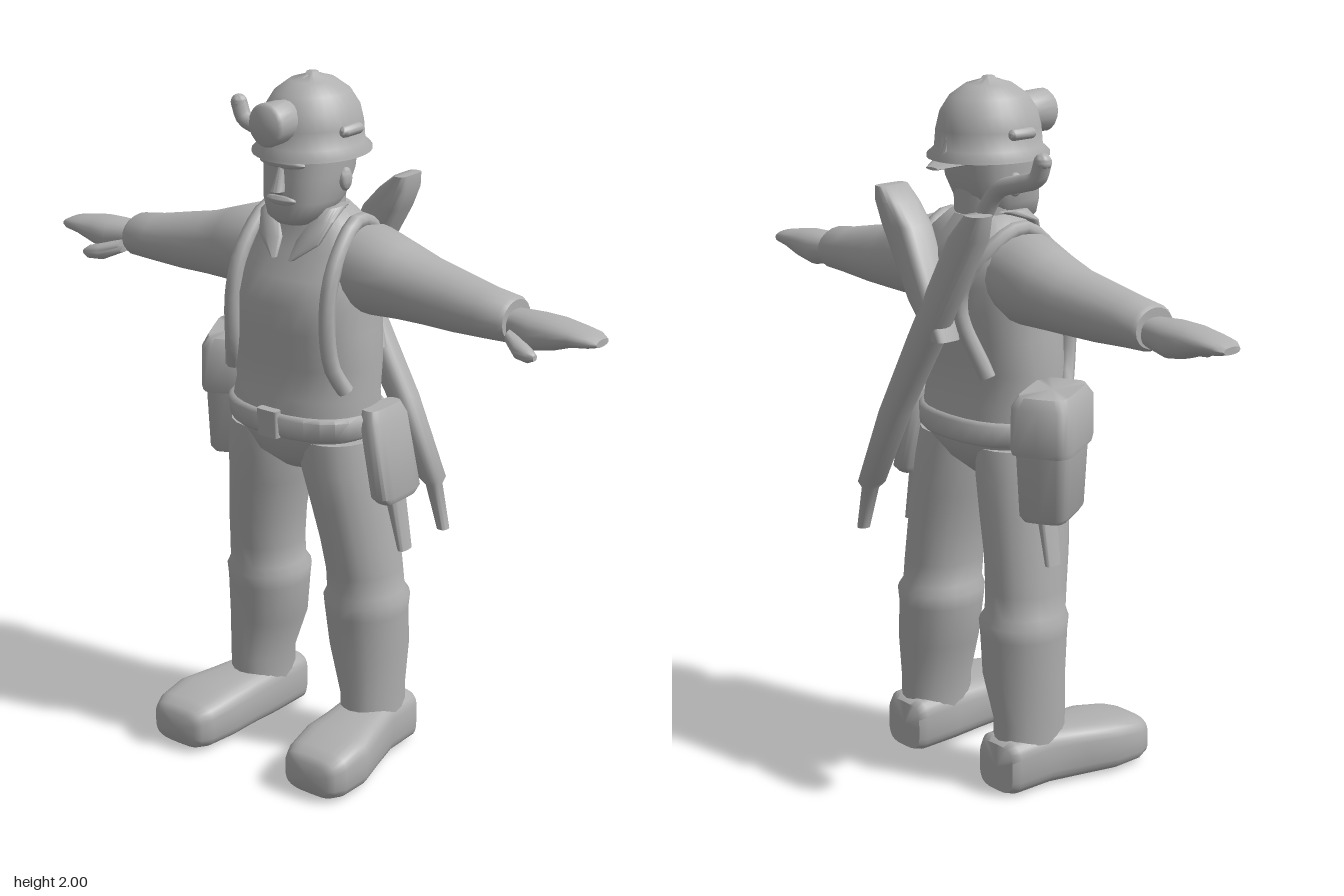
import * as THREE from 'three';
import { toCreasedNormals } from 'three/addons/utils/BufferGeometryUtils.js';

const grey = new THREE.MeshStandardMaterial({ color: 0xb0b0b0 });
grey.name = 'plain grey';

// Closed skin over cross-sections [t, u, v, ru, rv] stacked along an axis.
// axis y: u = x, v = z; axis x: u = y, v = z; axis z: u = x, v = y.
function loft(axis, sections, power = 2, sides = 20) {
  const pos = [], index = [], flip = axis !== 'y';
  const put = (t, u, v) => pos.push(...(axis === 'y' ? [u, t, v] : axis === 'x' ? [t, u, v] : [u, v, t]));
  const tri = (a, b, c) => index.push(...(flip ? [a, c, b] : [a, b, c]));
  const round = (c) => Math.sign(c) * Math.abs(c) ** (2 / power);
  for (const [t, u, v, ru, rv] of sections) {
    for (let j = 0; j < sides; j++) {
      const a = (j / sides) * Math.PI * 2;
      put(t, u + ru * round(Math.cos(a)), v + rv * round(Math.sin(a)));
    }
  }
  const n = sections.length, first = sections[0], last = sections[n - 1];
  put(first[0], first[1], first[2]);
  put(last[0], last[1], last[2]);
  for (let j = 0; j < sides; j++) {
    const k = (j + 1) % sides;
    for (let i = 0; i < n - 1; i++) {
      const a = i * sides + j, b = i * sides + k;
      tri(a, a + sides, b);
      tri(b, a + sides, b + sides);
    }
    tri(n * sides, j, k);
    tri(n * sides + 1, (n - 1) * sides + k, (n - 1) * sides + j);
  }
  const g = new THREE.BufferGeometry();
  g.setAttribute('position', new THREE.Float32BufferAttribute(pos, 3));
  g.setIndex(index);
  return g;
}

function tube(points, radius) {
  const curve = new THREE.CatmullRomCurve3(points.map((p) => new THREE.Vector3(...p)));
  return new THREE.TubeGeometry(curve, 28, radius, 8);
}

// Reflects a geometry across x = 0 and keeps its faces outward.
function mirrored(geometry) {
  const g = geometry.clone().scale(-1, 1, 1), id = g.index.array;
  for (let i = 0; i < id.length; i += 3) [id[i + 1], id[i + 2]] = [id[i + 2], id[i + 1]];
  return g;
}

export function createModel() {
  const model = new THREE.Group();
  model.name = 'miner';
  const add = (name, geometry) => {
    const mesh = new THREE.Mesh(toCreasedNormals(geometry, 0.95), grey);
    mesh.name = name;
    model.add(mesh);
    return mesh;
  };
  const pair = (name, geometry) => {
    add('left' + name, geometry);
    add('right' + name, mirrored(geometry));
  };
  const ball = (r, sx, sy, sz, x, y, z) =>
    new THREE.SphereGeometry(r, 16, 12).scale(sx, sy, sz).translate(x, y, z);

  // Torso and clothes
  add('torso', loft('y', [
    [0.88, 0, -0.01, 0.06, 0.07], [0.93, 0, -0.01, 0.14, 0.13], [1.0, 0, -0.02, 0.215, 0.165],
    [1.06, 0, -0.015, 0.222, 0.17], [1.11, 0, -0.02, 0.218, 0.155], [1.2, 0, -0.02, 0.225, 0.155],
    [1.3, 0, -0.025, 0.215, 0.165], [1.38, 0, -0.03, 0.212, 0.175], [1.45, 0, -0.045, 0.21, 0.165],
    [1.52, 0, -0.065, 0.2, 0.14], [1.58, 0, -0.06, 0.16, 0.115], [1.63, 0, -0.05, 0.1, 0.09],
  ], 2.3, 28));
  add('belt', loft('y', [
    [1.0, 0, -0.018, 0.224, 0.17], [1.01, 0, -0.018, 0.232, 0.178],
    [1.06, 0, -0.015, 0.236, 0.182], [1.07, 0, -0.015, 0.226, 0.172],
  ], 2.3, 28));
  add('beltBuckle', loft('y', [[1.0, 0, 0.155, 0.035, 0.015], [1.08, 0, 0.16, 0.035, 0.015]], 5));
  pair('ShoulderStrap', tube([
    [0.2, 1.15, 0.07], [0.175, 1.22, 0.1], [0.165, 1.38, 0.11], [0.16, 1.5, 0.07], [0.15, 1.6, -0.04],
    [0.13, 1.55, -0.15], [0.07, 1.4, -0.2], [0.14, 1.2, -0.165],
  ], 0.023));
  pair('CollarFlap', loft('y', [
    [1.5, 0.03, 0.095, 0.008, 0.01], [1.55, 0.065, 0.065, 0.04, 0.014],
    [1.61, 0.09, 0.03, 0.035, 0.02], [1.64, 0.095, -0.03, 0.016, 0.05],
  ]));

  // Arms, hands and thumbs
  pair('Sleeve', loft('x', [
    [0.08, 1.48, -0.06, 0.09, 0.1], [0.2, 1.47, -0.06, 0.125, 0.13], [0.3, 1.455, -0.065, 0.107, 0.11],
    [0.38, 1.442, -0.065, 0.093, 0.1], [0.48, 1.432, -0.06, 0.083, 0.09], [0.58, 1.424, -0.055, 0.07, 0.082],
    [0.655, 1.42, -0.055, 0.063, 0.076], [0.667, 1.42, -0.055, 0.055, 0.068],
  ]));
  pair('Hand', loft('x', [
    [0.64, 1.412, -0.055, 0.035, 0.045], [0.68, 1.41, -0.055, 0.042, 0.052], [0.74, 1.405, -0.05, 0.05, 0.066],
    [0.8, 1.41, -0.05, 0.043, 0.064], [0.86, 1.416, -0.05, 0.027, 0.058],
    [0.91, 1.415, -0.05, 0.019, 0.048], [0.935, 1.412, -0.05, 0.01, 0.03],
  ], 2.3));
  pair('Thumb', loft('x', [
    [0.68, 1.39, -0.01, 0.02, 0.03], [0.73, 1.372, 0.025, 0.025, 0.03],
    [0.77, 1.367, 0.04, 0.02, 0.022], [0.79, 1.365, 0.042, 0.008, 0.01],
  ]));

  // Legs with boot cuffs below the knee
  pair('Leg', loft('y', [
    [0.05, 0.205, -0.07, 0.083, 0.113], [0.2, 0.205, -0.065, 0.083, 0.115], [0.33, 0.187, -0.07, 0.112, 0.122],
    [0.45, 0.18, -0.065, 0.118, 0.128], [0.49, 0.18, -0.065, 0.122, 0.132], [0.515, 0.18, -0.06, 0.108, 0.12],
    [0.58, 0.178, -0.055, 0.104, 0.123], [0.68, 0.168, -0.045, 0.105, 0.13], [0.8, 0.148, -0.035, 0.112, 0.138],
    [0.9, 0.132, -0.025, 0.118, 0.145], [0.99, 0.12, -0.02, 0.115, 0.14],
  ]));
  pair('Boot', loft('z', [
    [-0.192, 0.205, 0.075, 0.07, 0.07], [-0.17, 0.205, 0.08, 0.085, 0.08], [-0.05, 0.207, 0.083, 0.087, 0.083],
    [0.06, 0.225, 0.08, 0.1, 0.08], [0.16, 0.24, 0.078, 0.115, 0.078], [0.25, 0.245, 0.07, 0.105, 0.07],
    [0.285, 0.245, 0.067, 0.09, 0.06], [0.3, 0.245, 0.065, 0.07, 0.045],
  ], 3.6, 28));

  // Head and face
  add('neck', loft('y', [[1.54, 0, -0.05, 0.085, 0.08], [1.72, 0, -0.05, 0.085, 0.09]]));
  add('head', loft('y', [
    [1.595, 0, 0.035, 0.05, 0.05], [1.615, 0, 0.02, 0.08, 0.085], [1.66, 0, -0.005, 0.1, 0.115],
    [1.73, 0, -0.025, 0.112, 0.128], [1.84, 0, -0.035, 0.116, 0.135],
  ], 2.5, 24));
  add('nose', loft('y', [
    [1.685, 0, 0.11, 0.012, 0.008], [1.695, 0, 0.115, 0.02, 0.022], [1.72, 0, 0.105, 0.014, 0.022],
    [1.765, 0, 0.095, 0.009, 0.015],
  ], 2, 12));
  add('brow', ball(0.03, 2.6, 0.5, 0.7, 0, 1.77, 0.095));
  add('moustache', ball(0.03, 1.7, 0.5, 0.6, 0, 1.668, 0.1));
  pair('Ear', ball(0.03, 0.45, 1.1, 0.8, 0.113, 1.715, -0.04));

  // Helmet: dome, brim, crest, lamp and side clips
  const helmet = [[0.001, 2.0], [0.015, 1.998], [0.02, 1.99], [0.06, 1.978], [0.1, 1.947], [0.125, 1.905],
    [0.135, 1.86], [0.139, 1.81], [0.158, 1.79], [0.158, 1.782], [0.13, 1.788], [0.001, 1.83]];
  add('helmet', new THREE.LatheGeometry(helmet.reverse().map((p) => new THREE.Vector2(...p)), 32)
    .scale(1, 1, 1.13).translate(0, 0, -0.037));
  add('helmetCrest', tube([[0, 1.83, 0.115], [0, 1.93, 0.075], [0, 1.985, -0.035], [0, 1.93, -0.15],
    [0, 1.8, -0.195]], 0.009));
  add('neckGuard', loft('z', [[-0.24, 0, 1.767, 0.025, 0.004], [-0.14, 0, 1.785, 0.09, 0.01]]));
  add('lamp', loft('z', [
    [0.02, 0, 1.885, 0.04, 0.045], [0.1, 0, 1.885, 0.055, 0.058], [0.165, 0, 1.885, 0.058, 0.06],
    [0.175, 0, 1.885, 0.05, 0.052],
  ]));
  pair('HelmetClip', new THREE.CapsuleGeometry(0.016, 0.06, 6, 12).rotateX(Math.PI / 2)
    .translate(0.134, 1.855, -0.035));

  // Satchel on the right hip
  const satchel = new THREE.Group();
  satchel.name = 'satchel';
  satchel.position.set(-0.315, 0, -0.085);
  satchel.rotation.y = 0.5;
  satchel.add(
    add('satchelBody', loft('y', [[0.835, 0, 0, 0.06, 0.095], [0.85, 0, 0, 0.07, 0.105],
      [1.08, 0, 0, 0.08, 0.12]], 5)),
    add('satchelFlap', loft('y', [[1.03, 0, 0, 0.087, 0.13], [1.045, 0, 0, 0.09, 0.135],
      [1.16, 0, 0, 0.088, 0.135], [1.19, 0, 0, 0.07, 0.115]], 5)));
  model.add(satchel);
  add('satchelStrapEnd', loft('y', [[0.68, -0.305, -0.07, 0.01, 0.025], [0.95, -0.245, -0.06, 0.02, 0.035]], 4));

  // Sheath and blade on the left hip
  add('hipSheath', loft('y', [
    [0.82, 0.29, -0.05, 0.025, 0.07], [0.84, 0.288, -0.05, 0.034, 0.09],
    [1.05, 0.243, -0.05, 0.034, 0.085], [1.085, 0.235, -0.05, 0.025, 0.07],
  ], 4));
  add('hipBlade', loft('y', [[0.665, 0.315, -0.06, 0.012, 0.026], [0.84, 0.28, -0.055, 0.02, 0.036]], 3));

  // Pick slung across the back: handle, hooked spike and broad blade
  add('pickHandle', loft('y', [
    [0.67, 0.322, -0.24, 0.016, 0.018], [0.8, 0.287, -0.24, 0.022, 0.024], [0.82, 0.28, -0.24, 0.036, 0.038],
    [1.05, 0.17, -0.24, 0.046, 0.042], [1.3, 0.02, -0.245, 0.055, 0.045],
    [1.6, -0.155, -0.245, 0.06, 0.044], [1.67, -0.195, -0.245, 0.035, 0.035],
  ], 2.6));
  add('pickSpike', tube([[-0.12, 1.55, -0.22], [-0.17, 1.66, -0.205], [-0.22, 1.735, -0.195],
    [-0.31, 1.765, -0.19], [-0.365, 1.785, -0.19], [-0.385, 1.83, -0.19]], 0.024));
  add('pickSpikeTip', ball(0.024, 1, 1, 1, -0.385, 1.83, -0.19));
  add('pickBlade', loft('y', [
    [1.3, -0.04, -0.235, 0.03, 0.04], [1.4, 0.015, -0.235, 0.05, 0.052], [1.6, 0.115, -0.235, 0.062, 0.055],
    [1.66, 0.155, -0.235, 0.045, 0.055], [1.7, 0.18, -0.235, 0.02, 0.05],
  ], 4));
  return model;
}
